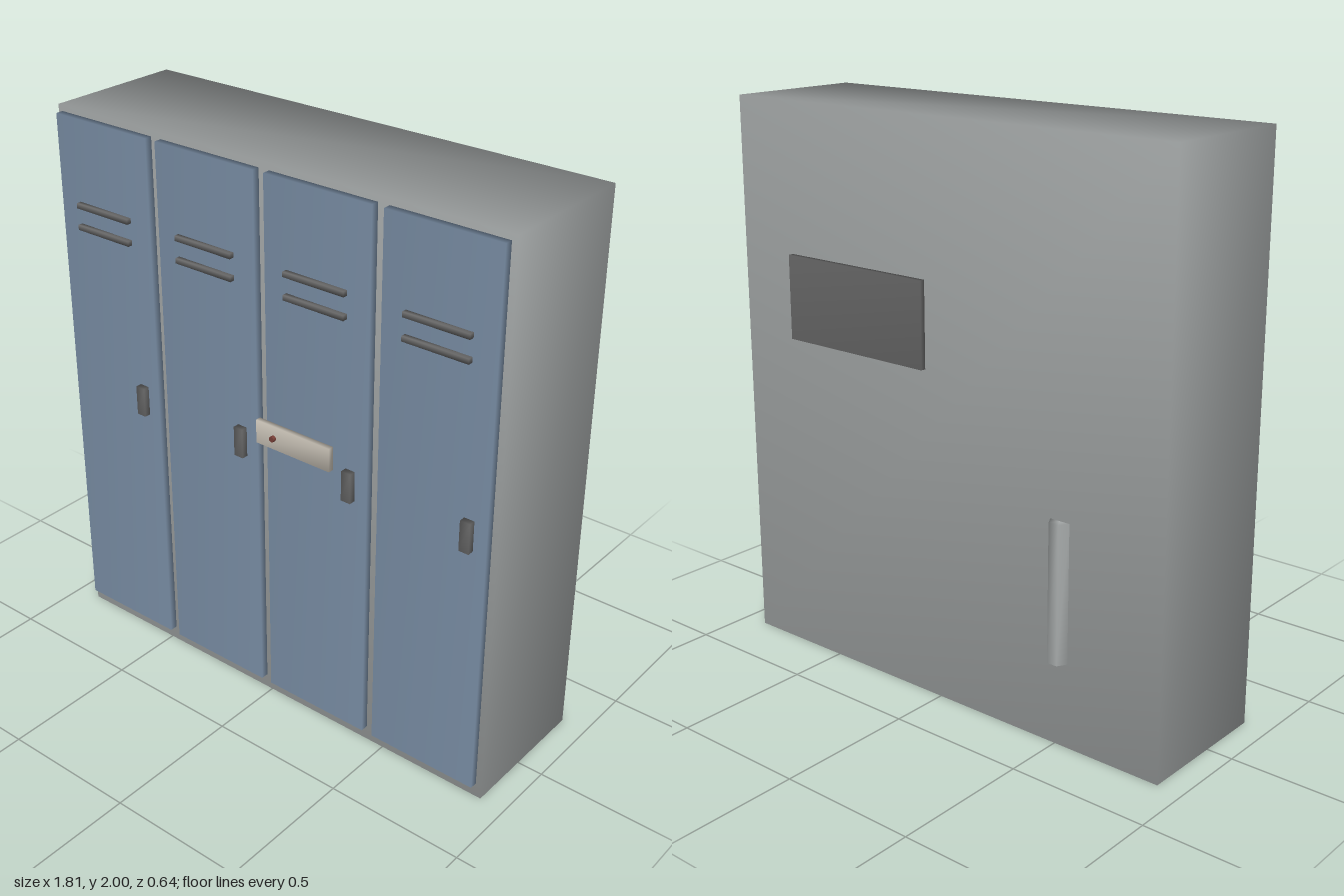
import * as THREE from 'three';
import { mergeVertices } from 'three/addons/utils/BufferGeometryUtils.js';

const material = (color) => new THREE.MeshStandardMaterial({ color });
const steel = material(0xa9adad);
const blue = material(0x7e93ab);
const dark = material(0x6a6a6a);
const pale = material(0xcfc8bc);
const red = material(0x7a4038);

// Share corners between faces so the shading runs smoothly across edges
function soften(geometry) {
  geometry.deleteAttribute('normal');
  geometry.deleteAttribute('uv');
  const merged = mergeVertices(geometry);
  merged.computeVertexNormals();
  return merged;
}

// Box given by its extents on each axis
function box(name, mat, [x0, x1], [y0, y1], [z0, z1]) {
  const mesh = new THREE.Mesh(soften(new THREE.BoxGeometry(x1 - x0, y1 - y0, z1 - z0)), mat);
  mesh.position.set((x0 + x1) / 2, (y0 + y1) / 2, (z0 + z1) / 2);
  mesh.name = name;
  return mesh;
}

export function createModel() {
  const model = new THREE.Group();
  model.name = 'lockerBank';

  // Cabinet
  model.add(box('cabinet', steel, [-0.907, 0.907], [0, 2], [-0.286, 0.23]));

  // Four doors, each with two vent slats and a handle
  for (let i = 0; i < 4; i++) {
    const locker = new THREE.Group();
    locker.name = `locker${i + 1}`;
    locker.position.x = (i - 1.5) * 0.454;
    locker.add(box('door', blue, [-0.206, 0.206], [0.056, 1.98], [0.232, 0.26]));
    for (const y of [1.68, 1.602]) {
      locker.add(box('ventSlat', dark, [-0.119, 0.119], [y - 0.009, y + 0.009], [0.26, 0.278]));
    }
    locker.add(box('handle', dark, [0.121, 0.158], [0.966, 1.074], [0.26, 0.283]));
    model.add(locker);
  }

  // Lock bar with a small rivet
  model.add(box('lockBar', pale, [0.016, 0.319], [1.07, 1.154], [0.288, 0.308]));
  const rivet = new THREE.Mesh(new THREE.CylinderGeometry(0.01, 0.01, 0.014, 8), red);
  rivet.rotation.x = Math.PI / 2;
  rivet.position.set(0.091, 1.112, 0.314);
  rivet.name = 'rivet';
  model.add(rivet);

  // Back panel and half-sunk hexagonal conduit
  model.add(box('backPanel', dark, [0.053, 0.668], [1.173, 1.473], [-0.305, -0.284]));
  const conduit = new THREE.Mesh(
    soften(new THREE.CylinderGeometry(0.038, 0.038, 0.484, 6).rotateY(Math.PI / 6)), steel);
  conduit.position.set(-0.51, 0.542, -0.286);
  conduit.name = 'conduit';
  model.add(conduit);

  // Centre the full depth on z = 0
  const bounds = new THREE.Box3().setFromObject(model);
  const shift = -(bounds.min.z + bounds.max.z) / 2;
  for (const part of model.children) part.position.z += shift;
  return model;
}
